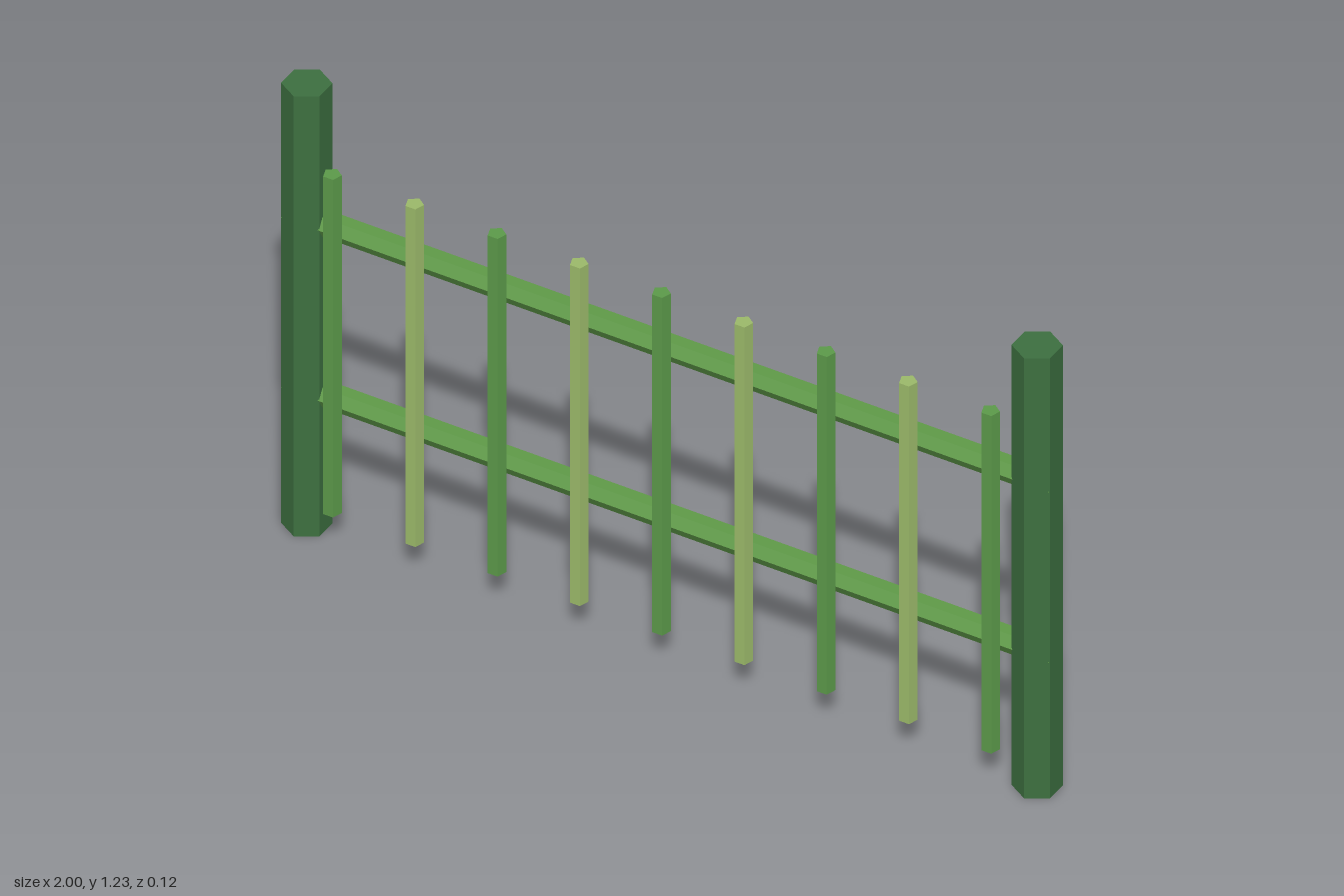
import * as THREE from 'three';

const mat = (color) => new THREE.MeshStandardMaterial({ color, flatShading: true });

export function createModel() {
  const fence = new THREE.Group();
  fence.name = 'fence';
  const postMat = mat(0x3d7040);
  const railMat = mat(0x5f9a48);
  const picketMats = [mat(0x5c9a4a), mat(0x9cba6a)];
  const backZ = -0.004;

  const add = (name, geometry, material, x, y, z) => {
    const mesh = new THREE.Mesh(geometry, material);
    mesh.name = name;
    mesh.position.set(x, y, z);
    fence.add(mesh);
  };

  // Hexagonal end posts, corners pointing front and back
  const postH = 1.234;
  const postGeo = new THREE.CylinderGeometry(0.0575, 0.0575, postH, 6);
  add('leftPost', postGeo, postMat, 0.95, postH / 2, backZ);
  add('rightPost', postGeo, postMat, -0.95, postH / 2, backZ);

  // Hexagonal rails running through both posts
  const railGeo = new THREE.CylinderGeometry(0.031, 0.031, 1.996, 6).rotateZ(Math.PI / 2);
  add('lowerRail', railGeo, railMat, 0, 0.381, backZ);
  add('upperRail', railGeo, railMat, 0, 0.859, backZ);

  // Five-sided pickets in alternating greens, a flat side to the front
  const picketGeo = new THREE.CylinderGeometry(0.022, 0.022, 0.947, 5).rotateY(Math.PI);
  for (let i = 0; i < 9; i++) {
    add(`picket${i + 1}`, picketGeo, picketMats[i % 2], (i - 4) * 0.214, 0.572, 0.043);
  }
  return fence;
}
